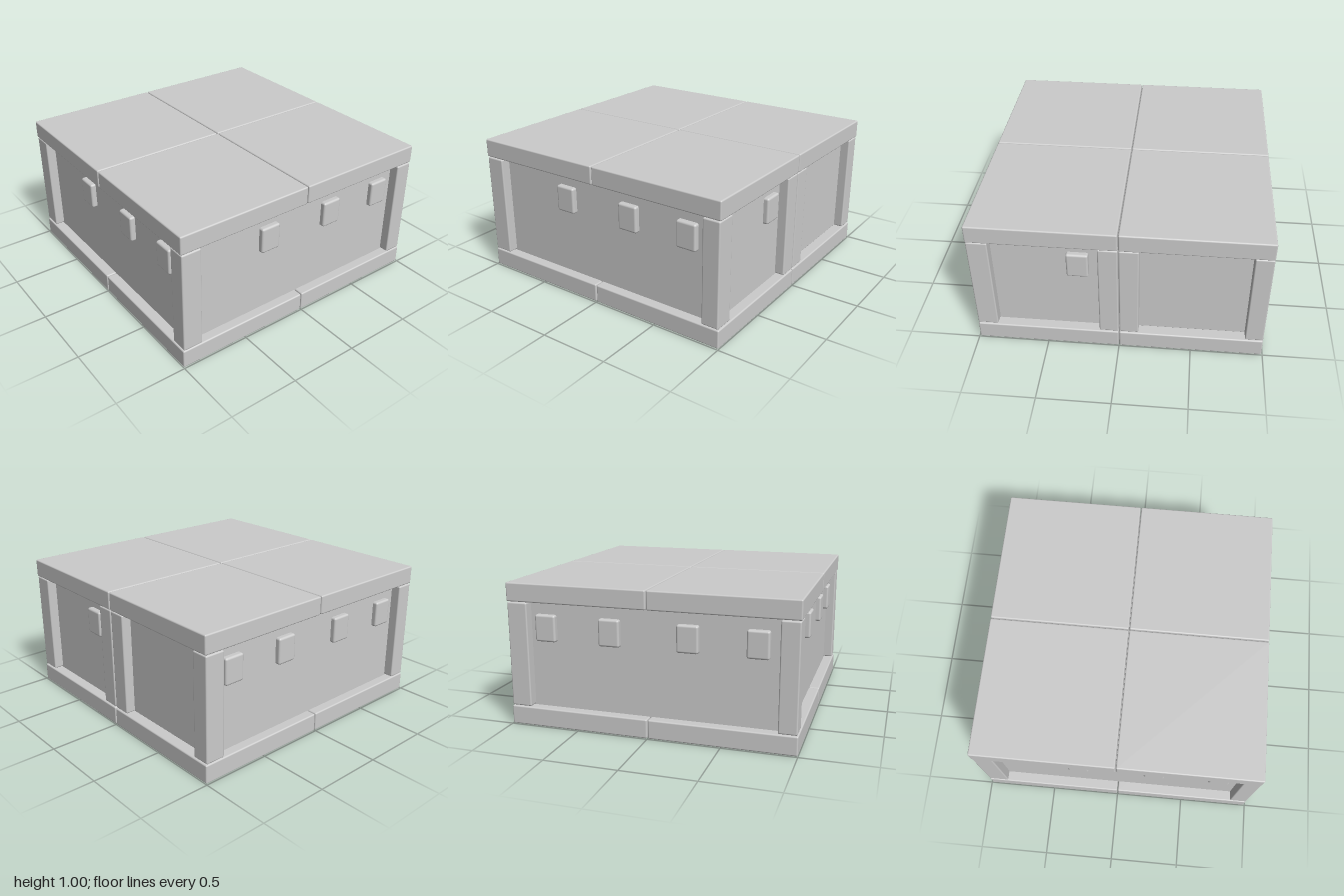
import * as THREE from 'three';
import { RoundedBoxGeometry } from 'three/addons/geometries/RoundedBoxGeometry.js';

const material = new THREE.MeshStandardMaterial({ color: 0xcccccc });

// Box with softened edges, given by its lower and upper limits
function block(name, parent, [x0, x1], [y0, y1], [z0, z1], radius = 0.01) {
  const geometry = new RoundedBoxGeometry(x1 - x0, y1 - y0, z1 - z0, 2, radius);
  const mesh = new THREE.Mesh(geometry, material);
  mesh.name = name;
  mesh.position.set((x0 + x1) / 2, (y0 + y1) / 2, (z0 + z1) / 2);
  parent.add(mesh);
  return mesh;
}

// Four square slabs meeting at the centre
function slabs(name, parent, yRange) {
  const group = new THREE.Group();
  group.name = name;
  for (const sx of [-1, 1]) {
    for (const sz of [-1, 1]) {
      const xs = sx > 0 ? [0.003, 0.993] : [-0.993, -0.003];
      const zs = sz > 0 ? [0.003, 0.998] : [-0.998, -0.003];
      block(name + 'Slab', group, xs, yRange, zs);
    }
  }
  parent.add(group);
}

export function createModel() {
  const model = new THREE.Group();
  model.name = 'blockHouse';

  slabs('floor', model, [0, 0.132]);
  slabs('roof', model, [0.87, 1]);

  // Each side is built facing +z, then turned into place
  const sides = [
    { name: 'front', tabs: [-0.275, 0.265, 0.725] },
    { name: 'left', tabs: [-0.275, 0.265, 0.725] },
    { name: 'back', tabs: [-0.275], door: true },
    { name: 'right', tabs: [-0.735, -0.275, 0.265, 0.725] },
  ];
  const wallZ = [0.86, 0.925];
  const postY = [0.137, 0.866];
  const postZ = [0.868, 0.993];

  sides.forEach(({ name, tabs, door }, i) => {
    const side = new THREE.Group();
    side.name = name + 'Side';
    side.rotation.y = i * Math.PI / 2;
    model.add(side);

    // Corner post at this side's left end
    block('cornerPost', side, [-0.993, -0.85], postY, postZ);

    // Wall, with a door and its two posts on the back
    if (door) {
      block('wall', side, [-0.91, -0.02], [0.125, 0.875], wallZ, 0.004);
      block('doorPost', side, [-0.135, -0.003], postY, postZ);
      block('doorPost', side, [0.003, 0.135], postY, postZ);
      block('door', side, [0.02, 0.91], [0.137, 0.872], wallZ, 0.004);
    } else {
      block('wall', side, [-0.91, 0.91], [0.125, 0.875], wallZ, 0.004);
    }

    // Small raised blocks on the wall
    for (const u of tabs) {
      block('wallBlock', side, [u - 0.074, u + 0.074], [0.598, 0.784], [0.89, 0.962], 0.015);
    }
  });

  return model;
}
